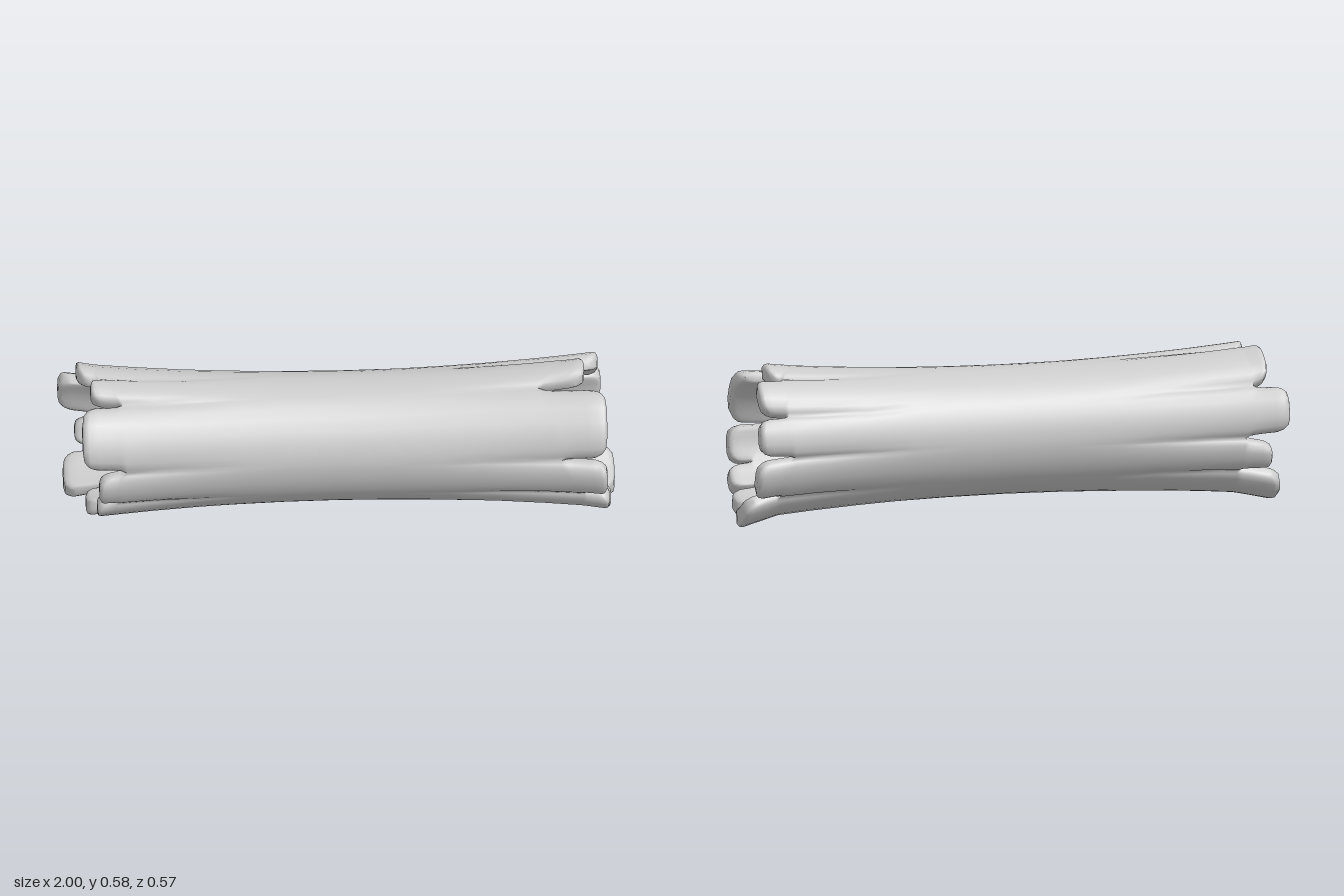
import * as THREE from 'three';
import { mergeVertices } from 'three/addons/utils/BufferGeometryUtils.js';

const AXIS_Y = 0.318;
const { lerp, smoothstep } = THREE.MathUtils;

// Splinters of each broken end, going round from the front over the top:
// [start angle, end angle, tip distance, depth of the notch before it, extra flare]
const RIGHT_END = [
  [6, 66, 0.96, 0.79, 0], [75, 107, 0.885, 0.71, 0.004], [112, 147, 0.94, 0.83, 0],
  [151, 182, 0.955, 0.84, 0.004], [187, 221, 0.965, 0.82, 0.008], [224, 267, 1, 0.86, 0.028],
  [270, 298, 0.98, 0.84, 0.002], [302, 327, 0.97, 0.86, 0.006], [329, 362, 0.96, 0.88, 0.004],
];
const LEFT_END = [
  [5, 59, 0.93, 0.77, 0.002], [64, 88, 0.895, 0.78, 0], [92, 139, 0.94, 0.86, 0.005],
  [144, 181, 1, 0.88, 0.006], [190, 214, 0.94, 0.84, 0], [220, 258, 0.985, 0.82, 0.02],
  [262, 293, 0.91, 0.83, 0.002], [298, 324, 0.875, 0.79, 0], [328, 358, 0.87, 0.8, 0],
];
const COUNT = RIGHT_END.length;
const ACROSS = [0, 0.06, 0.16, 0.32, 0.5, 0.68, 0.84, 0.94, 1];
const BODY_STEPS = [0, 0.25, 0.45, 0.65, 0.85, 1];
const TAB_STEPS = [0.15, 0.4, 0.65, 0.85, 0.95, 1];

// Angle in the middle of the notch before splinter k
function notchAngle(end, k) {
  const turn = Math.floor(k / COUNT) * 360;
  const i = k % COUNT;
  const before = i === 0 ? end[COUNT - 1][1] - 360 : end[i - 1][1];
  return (before + end[i][0]) / 2 + turn;
}

// Outer and inner point of splinter k, at t across it;
// body runs 0..1 from the middle to the notch, tab 0..1 from the notch to the tip
function sample(end, side, k, t, body, tab) {
  const [a0, a1, tip, notch, flare] = end[k];
  const edge = Math.abs(2 * t - 1);
  const depth = lerp(notch, end[(k + 1) % COUNT][3], t);
  const tipX = tip - 0.035 * edge ** 5;
  const x = tab > 0 ? lerp(depth, tipX, tab) : depth * body;

  const b0 = notchAngle(end, k), b1 = notchAngle(end, k + 1);
  const gap = Math.sqrt(tab);
  const own = lerp(lerp(b0, a0, gap), lerp(b1, a1, gap), t);
  const m0 = (notchAngle(LEFT_END, k) + notchAngle(RIGHT_END, k)) / 2;
  const m1 = (notchAngle(LEFT_END, k + 1) + notchAngle(RIGHT_END, k + 1)) / 2;
  const angle = lerp(lerp(m0, m1, t), own, smoothstep(x, 0, 0.6)) * Math.PI / 180;

  // flared shell with fading grooves and rounded splinter edges
  const groove = 0.022 * edge ** 4 * smoothstep(x, 0.3, 0.85);
  const pinch = 0.01 * edge ** 6 * Math.min(1, tab * 4);
  const round = tab === 1 ? 0.016 : tab > 0.9 ? 0.005 : 0;
  const outer = 0.233 + 0.055 * x * x + flare * tab - groove - pinch - round;
  const inner = 0.192 + 0.03 * x ** 4 + flare * tab * 0.6 + pinch * 0.8 + round * 0.7;
  return [outer, inner].map((r) =>
    new THREE.Vector3(side * x, AXIS_Y + r * Math.sin(angle), r * Math.cos(angle)));
}

// One lengthwise line of points, from the left tip to the right tip
function column(k, t) {
  const half = (end, side) => [
    ...BODY_STEPS.map((s) => sample(end, side, k, t, s, 0)),
    ...TAB_STEPS.map((s) => sample(end, side, k, t, 1, s)),
  ];
  return [...half(LEFT_END, -1).reverse(), ...half(RIGHT_END, 1).slice(1)];
}

function buildShell() {
  const points = [];
  const quad = (a, b, c, d) => points.push(a, b, c, a, c, d);
  for (let k = 0; k < COUNT; k++) {
    const cols = ACROSS.map((t) => column(k, t));
    const last = cols[0].length - 1;
    for (let i = 0; i < cols.length - 1; i++) {
      const p = cols[i], q = cols[i + 1];
      // outer bark and inner wall
      for (let j = 0; j < last; j++) {
        quad(p[j][0], p[j + 1][0], q[j + 1][0], q[j][0]);
        quad(p[j][1], q[j][1], q[j + 1][1], p[j + 1][1]);
      }
      // tips
      quad(p[last][0], p[last][1], q[last][1], q[last][0]);
      quad(p[0][0], q[0][0], q[0][1], p[0][1]);
    }
    // side walls of the splinters, only beyond the notches
    const p = cols[0], q = cols[cols.length - 1];
    for (let n = 0; n < TAB_STEPS.length; n++) {
      for (const j of [n, last - 1 - n]) {
        quad(p[j][0], p[j][1], p[j + 1][1], p[j + 1][0]);
        quad(q[j][0], q[j + 1][0], q[j + 1][1], q[j][1]);
      }
    }
  }
  const geometry = mergeVertices(new THREE.BufferGeometry().setFromPoints(points), 1e-5);
  geometry.computeVertexNormals();
  return geometry;
}

export function createModel() {
  const group = new THREE.Group();
  group.name = 'hollowLog';
  const material = new THREE.MeshStandardMaterial({ color: 0xcccccc, side: THREE.DoubleSide });
  const shell = new THREE.Mesh(buildShell(), material);
  shell.name = 'splinteredLogShell';
  group.add(shell);
  return group;
}
